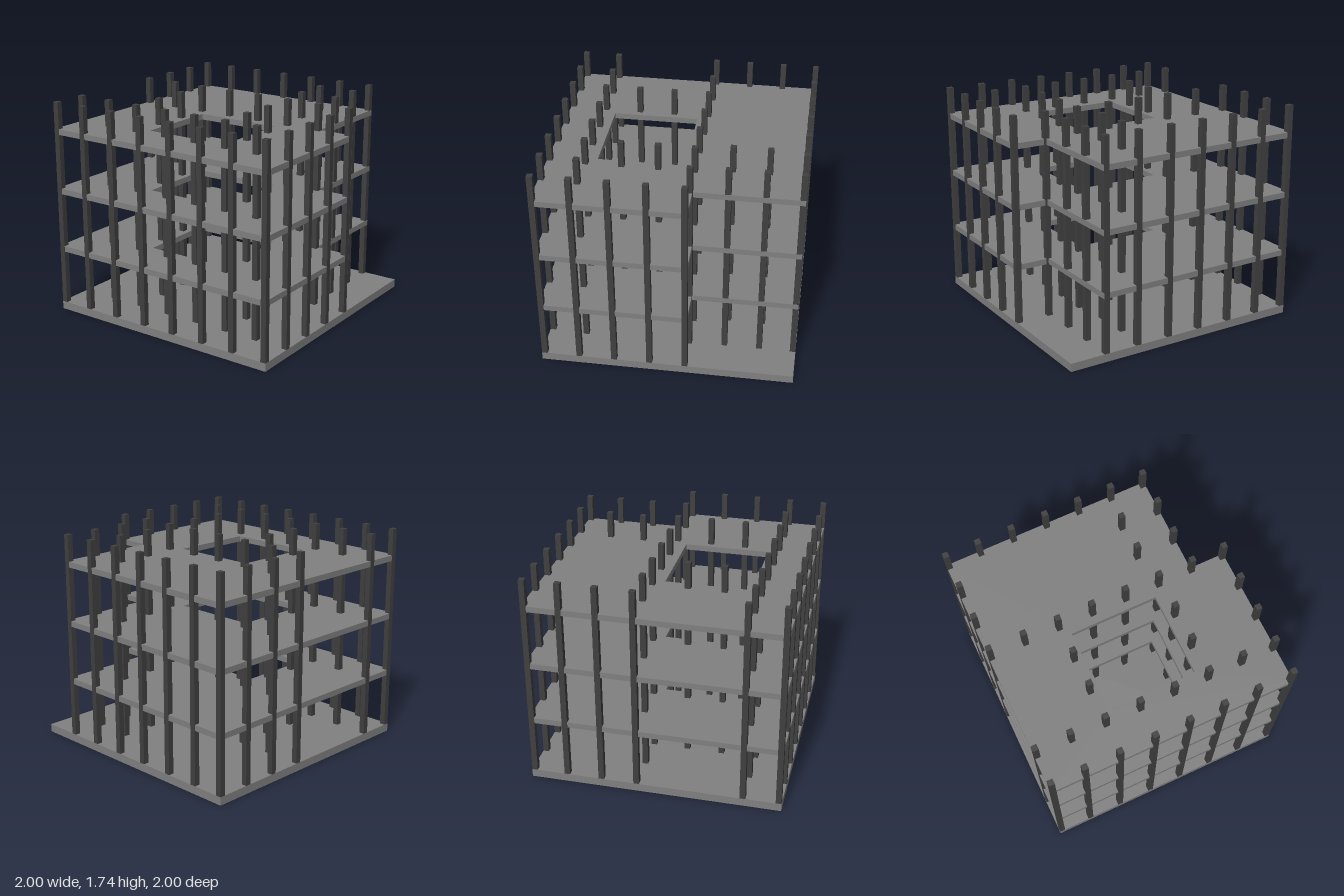
import * as THREE from 'three';

export function createModel() {
  const model = new THREE.Group();
  model.name = 'buildingFrame';
  const concrete = new THREE.MeshStandardMaterial({ color: 0x808080 });
  concrete.name = 'concreteGrey';
  const steel = new THREE.MeshStandardMaterial({ color: 0x404040 });
  steel.name = 'columnDarkGrey';

  const BASE = 0.065, TOP = 1.735, COL = 0.045;

  // Foundation plate
  const base = new THREE.Mesh(new THREE.BoxGeometry(2, BASE, 2), concrete);
  base.name = 'foundation';
  base.position.y = BASE / 2;
  model.add(base);

  // Floor outline with a cut-away front left corner and a courtyard opening.
  // Shape y is -z; edges sit a hair inside the column faces.
  const e = 0.997;
  const points = (list) => list.map(([x, z]) => new THREE.Vector2(x, -z));
  const outline = new THREE.Shape(points([
    [-e, e], [0.165, e], [0.165, 0.713], [e, 0.713], [e, -e], [-e, -e],
  ]));
  outline.holes.push(new THREE.Path(points([
    [-0.615, 0.36], [-0.615, -0.35], [0.06, -0.35], [0.06, 0.36],
  ])));
  const floorGeometry = new THREE.ExtrudeGeometry(outline, { depth: 0.046, bevelEnabled: false });
  floorGeometry.rotateX(-Math.PI / 2);
  [0.505, 0.99, 1.475].forEach((y, i) => {
    const floor = new THREE.Mesh(floorGeometry, concrete);
    floor.name = `floorSlab${i + 1}`;
    floor.position.y = y;
    model.add(floor);
  });

  // Columns: each row is an x position with its z positions
  const side = [-0.977, -0.713, -0.433, -0.15, 0.13, 0.411, 0.69];
  const inner = [-0.977, -0.697, -0.417, -0.135, 0.145, 0.427, 0.708, 0.977];
  const court = [-0.417, 0.427, 0.977];
  const wing = [-0.977, 0.38, 0.69];
  const rows = [
    [-0.977, [...side, 0.977]],
    [-0.697, inner],
    [-0.417, court],
    [-0.135, court],
    [0.145, inner],
    [0.428, wing],
    [0.708, wing],
    [0.977, side],
  ];
  const columns = new THREE.Group();
  columns.name = 'columns';
  const columnGeometry = new THREE.BoxGeometry(COL, TOP - BASE, COL);
  for (const [x, zs] of rows) {
    for (const z of zs) {
      const column = new THREE.Mesh(columnGeometry, steel);
      column.name = 'column';
      column.position.set(x, (TOP + BASE) / 2, z);
      columns.add(column);
    }
  }
  model.add(columns);
  return model;
}
